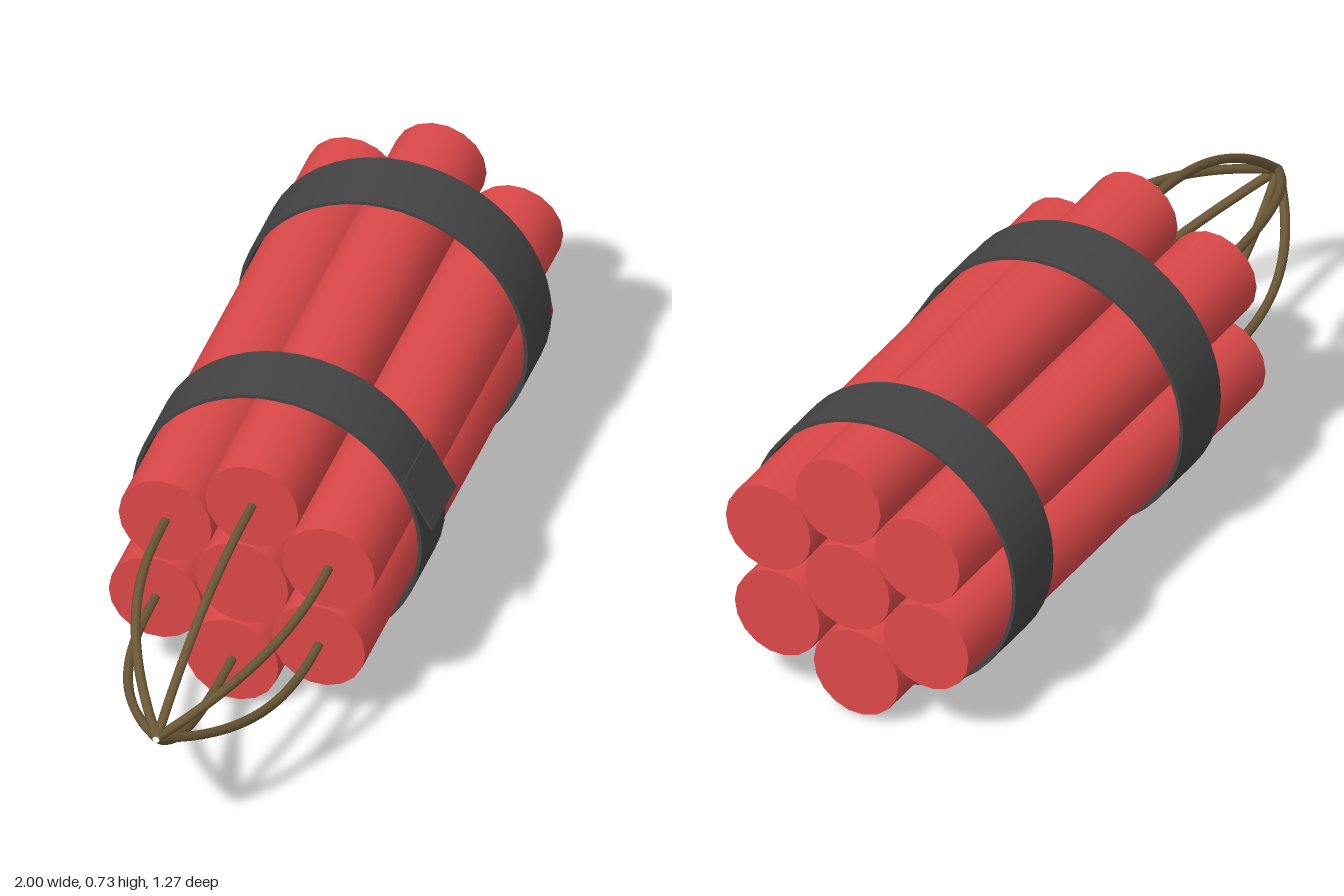
import * as THREE from 'three';
import { toCreasedNormals } from 'three/addons/utils/BufferGeometryUtils.js';

const RING = 0.24, STICK_R = 0.118, HALF = 0.71;
const STRAP_R = 0.367, STRAP_W = 0.18, TIP = -1.35;

export function createModel() {
  const red = new THREE.MeshStandardMaterial({ color: 0xdc4848 });
  const black = new THREE.MeshStandardMaterial({ color: 0x444444 });
  const brown = new THREE.MeshStandardMaterial({ color: 0x6b5836 });

  // The bundle lies along its local x axis
  const bundle = new THREE.Group();
  bundle.name = 'bundle';
  const add = (geometry, material, name) => {
    const mesh = new THREE.Mesh(geometry, material);
    mesh.name = name;
    bundle.add(mesh);
    return mesh;
  };

  // One stick in the middle, six around it, each outer one with a fuse
  const stickGeo = new THREE.CylinderGeometry(STICK_R, STICK_R, HALF * 2, 18).rotateZ(Math.PI / 2);
  add(stickGeo, red, 'centerStick');
  for (let i = 0; i < 6; i++) {
    const a = THREE.MathUtils.degToRad(24 + 60 * i);
    const y = RING * Math.sin(a), z = RING * Math.cos(a);
    add(stickGeo, red, 'outerStick').position.set(0, y, z);

    // Fuse leaves the stick straight and bends in to the shared tip
    const points = [new THREE.Vector3(-HALF + 0.05, y, z)];
    for (let k = 0; k <= 10; k++) {
      const t = k / 10, r = 1 - t ** 2.5;
      points.push(new THREE.Vector3(THREE.MathUtils.lerp(-HALF, TIP, t), y * r, z * r));
    }
    const path = new THREE.CatmullRomCurve3(points);
    add(new THREE.TubeGeometry(path, 32, 0.012, 8), brown, 'fuse');
  }

  // Two round tape straps
  const w = STRAP_W / 2, inner = STRAP_R - 0.01;
  const profile = [[inner, -w], [STRAP_R, -w], [STRAP_R, w], [inner, w], [inner, -w]]
    .map(([r, h]) => new THREE.Vector2(r, h));
  const strapGeo = toCreasedNormals(new THREE.LatheGeometry(profile, 48).rotateZ(Math.PI / 2), 0.6);
  for (const x of [-0.355, 0.445]) add(strapGeo, black, 'strap').position.x = x;

  // Loose tape end, leaving the strap along its tangent
  const flap = add(new THREE.BoxGeometry(STRAP_W, 0.146, 0.006), black, 'tapeEnd');
  flap.position.set(-0.35, 0.122, 0.354);
  flap.rotation.x = -Math.PI / 6;

  bundle.position.set(0.2125, STRAP_R, -0.0225);
  bundle.rotation.y = 0.467;

  const model = new THREE.Group();
  model.name = 'stickBundle';
  model.add(bundle);
  return model;
}
